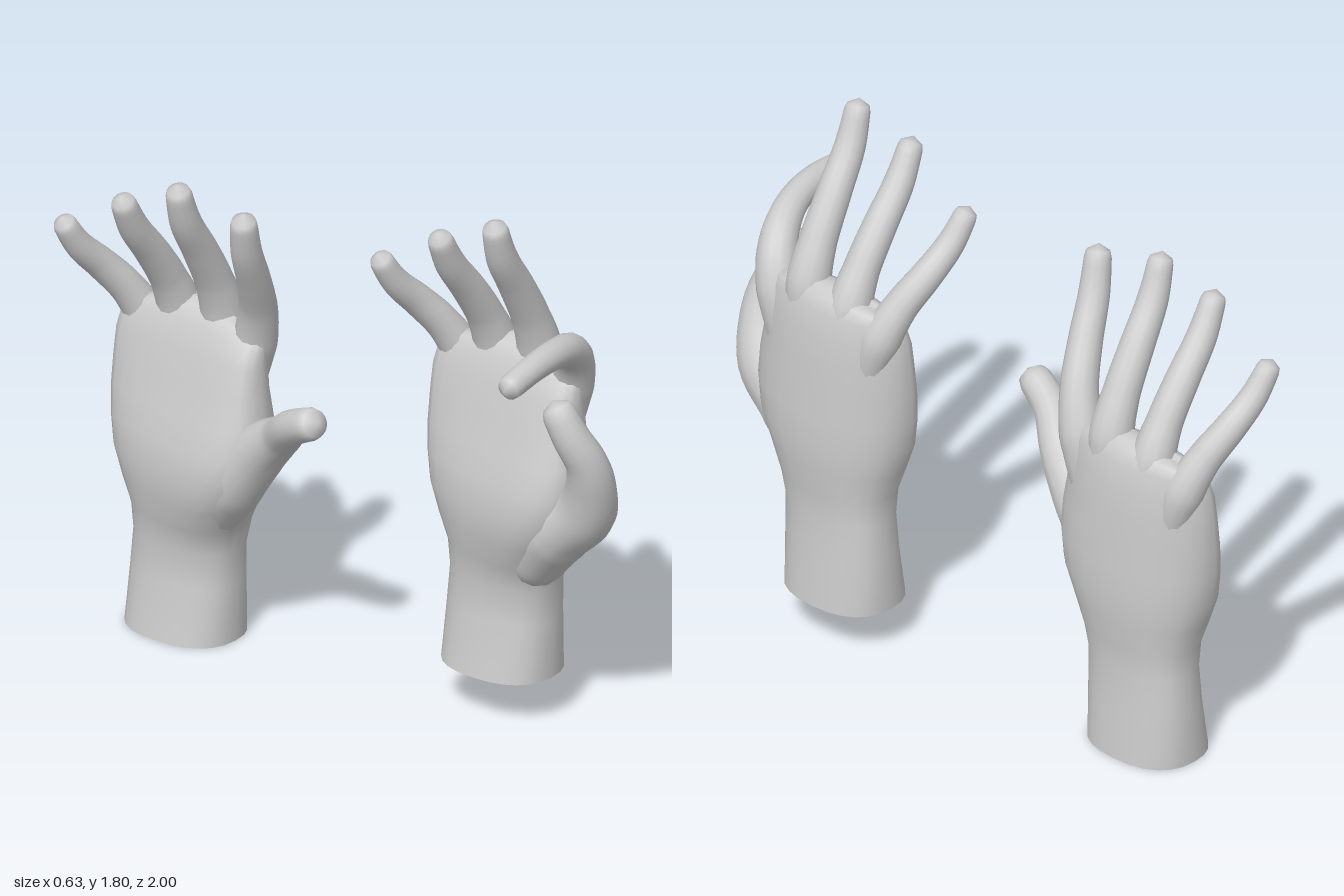
import * as THREE from 'three';
import { mergeVertices } from 'three/addons/utils/BufferGeometryUtils.js';

const material = new THREE.MeshStandardMaterial({ color: 0xcccccc });

function addMesh(group, name, geometry) {
  const mesh = new THREE.Mesh(geometry, material);
  mesh.name = name;
  group.add(mesh);
}

// Tapered finger, rounded at both ends: points are [x, y, z, radius] from base to tip
function digit(points) {
  const curve = new THREE.CatmullRomCurve3(points.map(p => new THREE.Vector3(p[0], p[1], p[2])));
  const rings = 36, sides = 14;
  const length = curve.getLength();
  const geo = new THREE.TubeGeometry(curve, rings, 1, sides);
  const pos = geo.attributes.position;
  const v = new THREE.Vector3();
  const last = points.length - 1;
  const dome = (distance, size) => Math.sqrt(Math.max(0, 1 - Math.max(0, 1 - distance / size) ** 2));
  for (let i = 0; i <= rings; i++) {
    const u = i / rings;
    const centre = curve.getPointAt(u);
    const s = curve.getUtoTmapping(u) * last;
    const k = Math.min(Math.floor(s), last - 1);
    const r = THREE.MathUtils.lerp(points[k][3], points[k + 1][3], s - k)
      * dome(u * length, points[0][3]) * dome((1 - u) * length, points[last][3]);
    for (let j = 0; j <= sides; j++) {
      const n = i * (sides + 1) + j;
      v.fromBufferAttribute(pos, n).sub(centre).multiplyScalar(r).add(centre);
      pos.setXYZ(n, v.x, v.y, v.z);
    }
  }
  geo.deleteAttribute('normal');
  geo.deleteAttribute('uv');
  const smooth = mergeVertices(geo, 1e-5);
  smooth.computeVertexNormals();
  return smooth;
}

// Wrist and palm sections:
// [y, z outer edge, z thumb edge, x palm, x back, arch, drop at the edges, tilt of the palm side]
const SECTIONS = [
  [0.005, -0.86, -0.46, -0.155, 0.16, 0, 0, 0],
  [0.20, -0.855, -0.46, -0.12, 0.145, 0, 0, 0],
  [0.32, -0.845, -0.455, -0.113, 0.135, 0, 0, 0],
  [0.41, -0.848, -0.43, -0.135, 0.143, 0.005, 0, 0.02],
  [0.50, -0.875, -0.385, -0.16, 0.155, 0.015, 0, 0.04],
  [0.60, -0.905, -0.33, -0.172, 0.163, 0.025, 0, 0.05],
  [0.70, -0.915, -0.31, -0.158, 0.16, 0.035, 0, 0.05],
  [0.80, -0.92, -0.315, -0.125, 0.155, 0.045, 0, 0.04],
  [0.90, -0.92, -0.335, -0.092, 0.15, 0.05, 0, 0.03],
  [1.00, -0.915, -0.34, -0.068, 0.143, 0.052, 0.01, 0.02],
  [1.08, -0.905, -0.345, -0.038, 0.127, 0.048, 0.03, 0.01],
  [1.125, -0.89, -0.355, -0.01, 0.108, 0.04, 0.045, 0],
  [1.145, -0.86, -0.385, 0.025, 0.08, 0.03, 0.05, 0],
];
const SIDES = 24;

function sectionPoint([y, z0, z1, x0, x1, arch, drop, tilt], i) {
  const a = (i / SIDES) * Math.PI * 2;
  const soft = t => Math.sign(t) * Math.abs(t) ** 0.84;
  const c = soft(Math.cos(a)), s = soft(Math.sin(a));
  return [
    (x0 + x1) / 2 + s * (x1 - x0) / 2 - arch * c * c + tilt * c * Math.min(s, 0),
    y - drop * c * c,
    (z0 + z1) / 2 + c * (z1 - z0) / 2,
  ];
}

function loft(positions, index) {
  const geo = new THREE.BufferGeometry();
  geo.setAttribute('position', new THREE.Float32BufferAttribute(positions, 3));
  geo.setIndex(index);
  geo.computeVertexNormals();
  return geo;
}

function palmGeometry() {
  const positions = [], index = [];
  SECTIONS.forEach((section, j) => {
    for (let i = 0; i < SIDES; i++) {
      positions.push(...sectionPoint(section, i));
      if (j === 0) continue;
      const n = (i + 1) % SIDES, low = (j - 1) * SIDES, high = j * SIDES;
      index.push(low + i, low + n, high + n, low + i, high + n, high + i);
    }
  });
  // Close the top between the fingers
  const top = (SECTIONS.length - 1) * SIDES, centre = SECTIONS.length * SIDES;
  positions.push(0.05, 1.145, -0.625);
  for (let i = 0; i < SIDES; i++) index.push(centre, top + i, top + (i + 1) % SIDES);
  return loft(positions, index);
}

// Flat cut at the bottom of the wrist
function wristEndGeometry() {
  const positions = [0, SECTIONS[0][0], -0.66], index = [];
  for (let i = 0; i < SIDES; i++) {
    positions.push(...sectionPoint(SECTIONS[0], i));
    index.push(0, 1 + (i + 1) % SIDES, 1 + i);
  }
  return loft(positions, index);
}

const SHARED_FINGERS = {
  middleFinger: [
    [0.06, 0.95, -0.55, 0.06], [0.048, 1.11, -0.547, 0.074], [0.0, 1.24, -0.545, 0.062],
    [-0.08, 1.38, -0.54, 0.057], [-0.165, 1.51, -0.53, 0.051], [-0.22, 1.655, -0.52, 0.04],
  ],
  ringFinger: [
    [0.06, 0.93, -0.715, 0.06], [0.042, 1.08, -0.717, 0.074], [-0.01, 1.2, -0.72, 0.06],
    [-0.09, 1.32, -0.722, 0.056], [-0.185, 1.44, -0.72, 0.05], [-0.262, 1.575, -0.712, 0.039],
  ],
  littleFinger: [
    [0.05, 0.83, -0.79, 0.05], [0.035, 1.01, -0.842, 0.068], [-0.02, 1.125, -0.88, 0.057],
    [-0.095, 1.22, -0.92, 0.052], [-0.18, 1.31, -0.945, 0.046], [-0.25, 1.425, -0.963, 0.037],
  ],
};

const OPEN_POSE = {
  indexFinger: [
    [0.045, 0.84, -0.46, 0.055], [0.04, 1.05, -0.412, 0.073], [0.007, 1.19, -0.372, 0.062],
    [-0.06, 1.32, -0.337, 0.056], [-0.13, 1.45, -0.31, 0.051], [-0.18, 1.605, -0.286, 0.042],
  ],
  thumb: [
    [-0.01, 0.38, -0.58, 0.095], [-0.055, 0.59, -0.43, 0.11], [-0.065, 0.735, -0.31, 0.092],
    [-0.1, 0.83, -0.198, 0.067], [-0.17, 0.92, -0.09, 0.058], [-0.21, 0.99, 0.045, 0.053],
  ],
};

const PINCH_POSE = {
  indexFinger: [
    [0.045, 0.82, -0.46, 0.055], [0.042, 1.02, -0.415, 0.073], [0.012, 1.125, -0.38, 0.067],
    [-0.05, 1.195, -0.347, 0.058], [-0.15, 1.235, -0.315, 0.05], [-0.3, 1.245, -0.292, 0.045],
    [-0.468, 1.22, -0.283, 0.04],
  ],
  thumb: [
    [-0.01, 0.35, -0.56, 0.095], [-0.045, 0.545, -0.41, 0.115], [-0.055, 0.655, -0.285, 0.103],
    [-0.085, 0.76, -0.235, 0.083], [-0.125, 0.87, -0.222, 0.067], [-0.165, 0.965, -0.253, 0.06],
    [-0.185, 1.085, -0.31, 0.052],
  ],
};

function hand(name, pose) {
  const group = new THREE.Group();
  group.name = name;
  addMesh(group, 'palm', palmGeometry());
  addMesh(group, 'wristEnd', wristEndGeometry());
  for (const [part, points] of Object.entries({ ...SHARED_FINGERS, ...pose })) {
    addMesh(group, part, digit(points));
  }
  return group;
}

export function createModel() {
  const model = new THREE.Group();
  model.name = 'pairOfHands';
  const open = hand('openHand', OPEN_POSE);
  const pinch = hand('pinchingHand', PINCH_POSE);
  pinch.position.set(0.15, 0.155, 1.155);
  model.add(open, pinch);
  return model;
}
